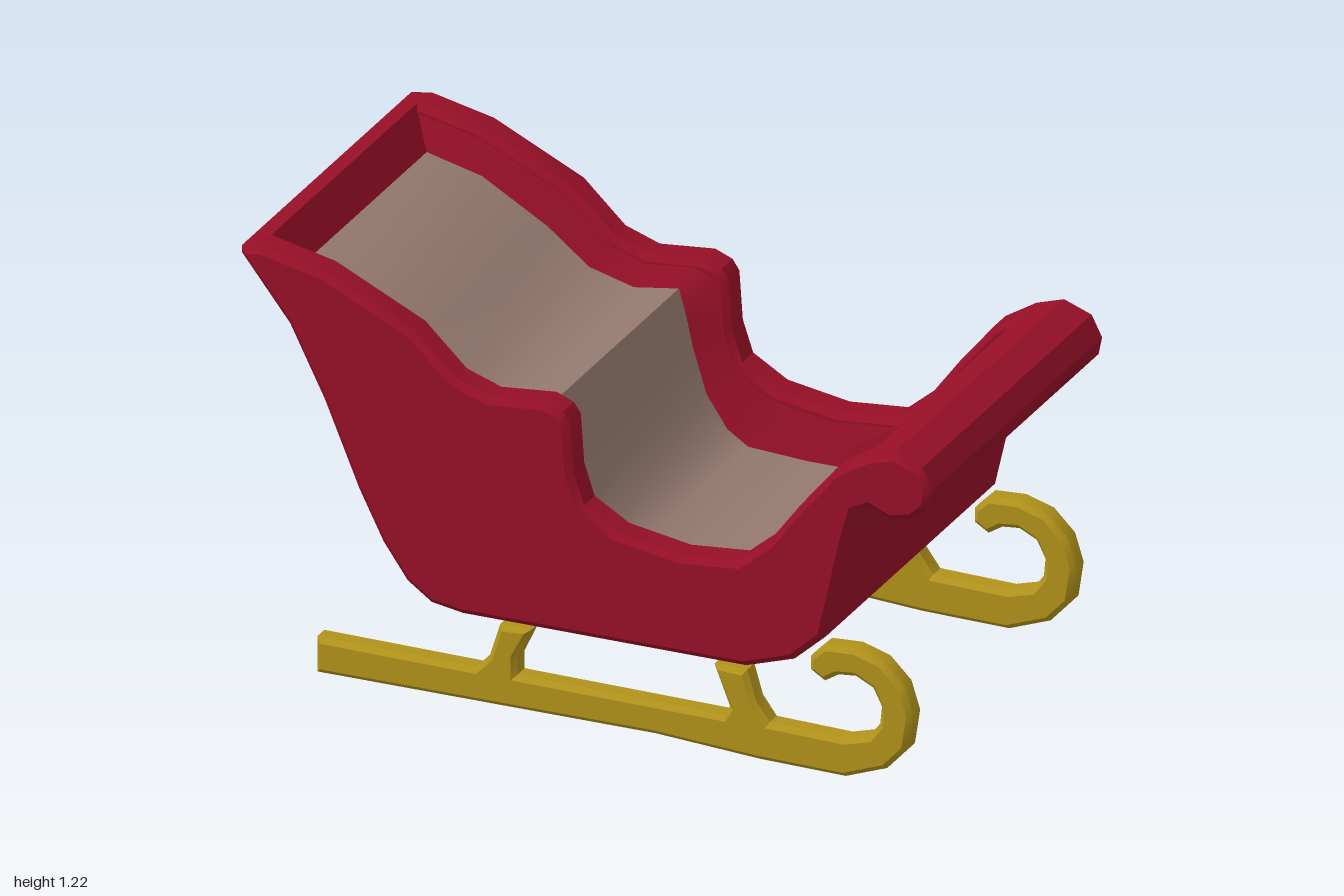
import * as THREE from 'three';
import { toCreasedNormals } from 'three/addons/utils/BufferGeometryUtils.js';

const RED = new THREE.MeshStandardMaterial({ color: 0x960f26 });
const RED_THIN = new THREE.MeshStandardMaterial({ color: 0x960f26, side: THREE.DoubleSide });
const GOLD = new THREE.MeshStandardMaterial({ color: 0xb0921a });
const TAN = new THREE.MeshStandardMaterial({ color: 0x94796e, side: THREE.DoubleSide });

// Underside of the body, from the back tip down, forward and up around the front curl
const UNDER = [
  [-1, 1.21], [-1, 1.19], [-0.93, 1.1], [-0.86, 1.01], [-0.76, 0.81], [-0.66, 0.57], [-0.59, 0.43],
  [-0.52, 0.33], [-0.45, 0.28], [-0.36, 0.265], [0.46, 0.265], [0.6, 0.31], [0.69, 0.39], [0.72, 0.52],
  [0.75, 0.66], [0.78, 0.77], [0.82, 0.79], [0.88, 0.765], [0.95, 0.78], [0.99, 0.82], [1, 0.87],
  [0.97, 0.93], [0.89, 0.96], [0.81, 0.935],
];
// Top edge of the side panels, from the front curl to the back tip
const TOP = [
  [0.72, 0.88], [0.62, 0.76], [0.53, 0.64], [0.44, 0.565], [0.27, 0.55], [0.09, 0.58], [-0.01, 0.64],
  [-0.04, 0.73], [-0.05, 0.87], [-0.07, 0.9], [-0.12, 0.92], [-0.28, 0.905], [-0.38, 0.94],
  [-0.5, 1.055], [-0.76, 1.18], [-0.94, 1.22],
];
// Seat line and the matching inner rim line, back to front
const SEAT = [
  [-0.9, 1.1], [-0.74, 1.06], [-0.55, 0.95], [-0.43, 0.855], [-0.3, 0.82], [-0.17, 0.84], [-0.15, 0.77],
  [-0.13, 0.68], [-0.09, 0.55], [-0.03, 0.46], [0.03, 0.42], [0.2, 0.41], [0.41, 0.41],
];
const RIM = [
  [-0.95, 1.2], [-0.76, 1.16], [-0.5, 1.035], [-0.38, 0.92], [-0.28, 0.885], [-0.14, 0.9], [-0.07, 0.87],
  [-0.06, 0.73], [-0.03, 0.63], [0.08, 0.56], [0.27, 0.53], [0.44, 0.545], [0.6, 0.635],
];
const RUNNER = [
  [-0.78, 0.02], [0.2, 0.022], [0.5, 0.004], [0.75, 0], [0.87, 0.045], [0.93, 0.11], [0.945, 0.21],
  [0.92, 0.29], [0.86, 0.35], [0.78, 0.375], [0.69, 0.37], [0.65, 0.33], [0.65, 0.29], [0.69, 0.265],
  [0.73, 0.29], [0.78, 0.295], [0.83, 0.27], [0.855, 0.22], [0.85, 0.17], [0.82, 0.13], [0.75, 0.11],
  [0.53, 0.115], [0.49, 0.17], [0.465, 0.255], [0.37, 0.255], [0.415, 0.14], [0.4, 0.113],
  [-0.2, 0.118], [-0.2, 0.17], [-0.16, 0.255], [-0.25, 0.255], [-0.28, 0.16], [-0.32, 0.118], [-0.78, 0.122],
];

// Extrudes an outline between two z positions with a small bevel
function slab(name, points, z0, z1, bevel, material) {
  const shape = new THREE.Shape(points.map(([x, y]) => new THREE.Vector2(x, y)));
  const geometry = new THREE.ExtrudeGeometry(shape, {
    depth: z1 - z0 - 2 * bevel, bevelEnabled: bevel > 0, bevelThickness: bevel,
    bevelSize: bevel, bevelOffset: -bevel, bevelSegments: 1,
  });
  geometry.translate(0, 0, z0 + bevel);
  const mesh = new THREE.Mesh(toCreasedNormals(geometry, 0.6), material);
  mesh.name = name;
  return mesh;
}

// Surface between two lines of [x, y, z] points
function strip(name, a, b, material) {
  const index = [];
  for (let i = 0; i < a.length - 1; i++) {
    const j = a.length + i;
    index.push(i, j, i + 1, i + 1, j, j + 1);
  }
  const geometry = new THREE.BufferGeometry();
  geometry.setAttribute('position', new THREE.Float32BufferAttribute([...a, ...b].flat(), 3));
  geometry.setIndex(index);
  const mesh = new THREE.Mesh(toCreasedNormals(geometry, 0.7), material);
  mesh.name = name;
  return mesh;
}

const atZ = (line, z, lift = 0) => line.map(([x, y]) => [x, y + lift, z]);

export function createModel() {
  const sleigh = new THREE.Group();
  sleigh.name = 'sleigh';

  // Solid body between the side panels: back, floor, front wall and curl
  const inside = [[0.6, 0.635], ...SEAT.slice().reverse(), [-0.95, 1.215]];
  sleigh.add(slab('body', [...UNDER, ...inside], -0.48, 0.48, 0, RED));

  // Seat upholstery
  sleigh.add(strip('seat', atZ(SEAT, 0.42, 0.005), atZ(SEAT, -0.42, 0.005), TAN));

  // Slope from the back rim down to the seat
  sleigh.add(strip('backLining',
    [[-0.95, 1.217, 0.455], [-0.95, 1.217, -0.455]],
    [[-0.9, 1.105, 0.42], [-0.9, 1.105, -0.42]], RED_THIN));

  for (const side of [1, -1]) {
    const label = side > 0 ? 'front' : 'rear';
    const span = (a, b) => (side > 0 ? [a, b] : [-b, -a]);
    sleigh.add(slab(label + 'SidePanel', [...UNDER, ...TOP], ...span(0.455, 0.56), 0.018, RED));
    sleigh.add(slab(label + 'Runner', RUNNER, ...span(0.487, 0.56), 0.014, GOLD));
    // Tapered lining between rim and seat
    sleigh.add(strip(label + 'SideLining', atZ(RIM, side * 0.457), atZ(SEAT, side * 0.42), RED_THIN));
  }
  return sleigh;
}
